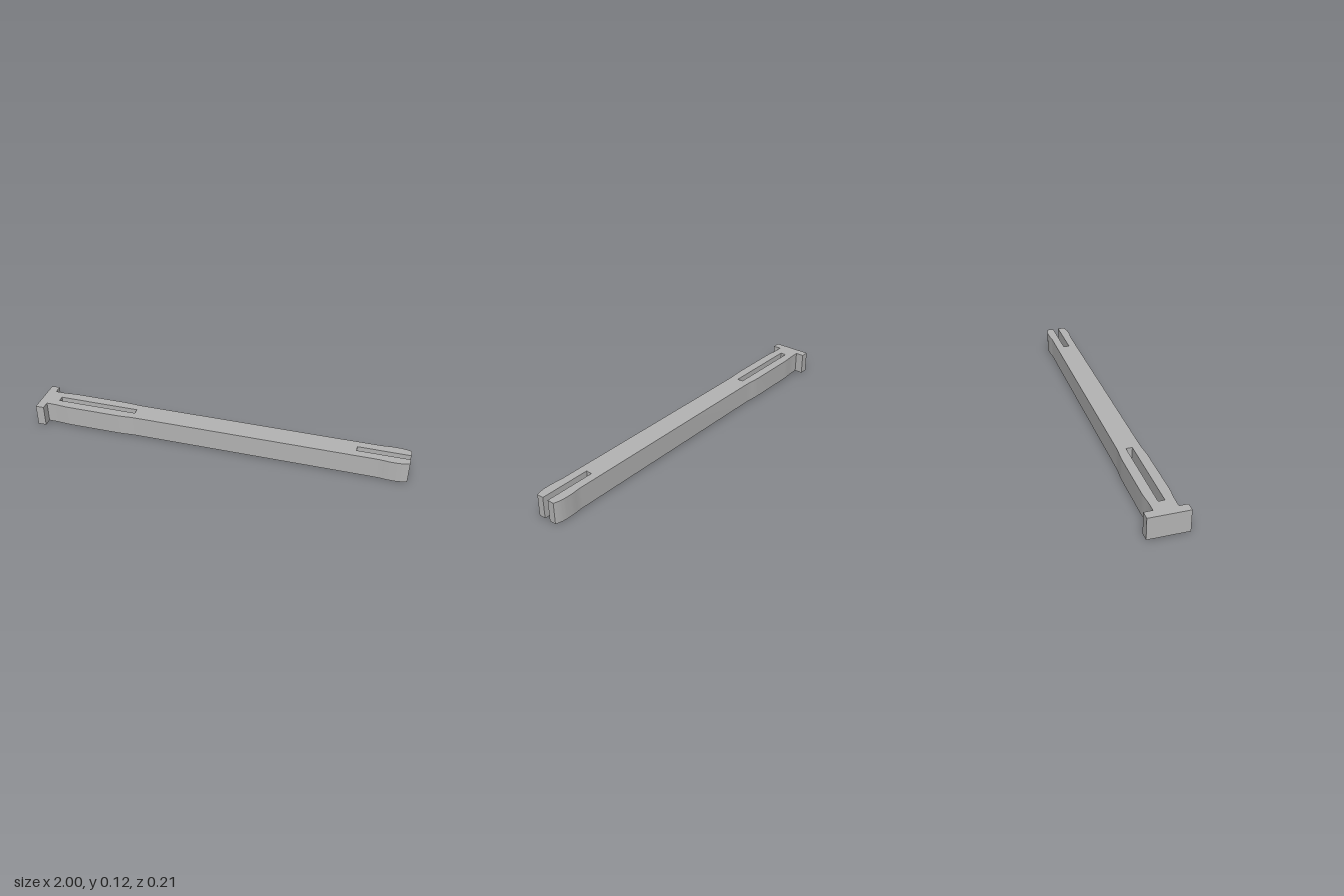
import * as THREE from 'three';
import { toCreasedNormals } from 'three/addons/utils/BufferGeometryUtils.js';

const HEIGHT = 0.115;
const SLOT = 0.016; // half width of both slots

// Upright prism from a plan outline (x, z)
function prism(name, shape, material) {
  const geo = new THREE.ExtrudeGeometry(shape, { depth: HEIGHT, bevelEnabled: false });
  geo.rotateX(-Math.PI / 2);
  const mesh = new THREE.Mesh(toCreasedNormals(geo, 0.4), material);
  mesh.name = name;
  return mesh;
}

// Smooth run between two half widths
function ease(x0, w0, x1, w1, steps = 8) {
  return Array.from({ length: steps + 1 }, (_, i) => {
    const t = i / steps;
    return new THREE.Vector2(x0 + (x1 - x0) * t, w0 + (w1 - w0) * t * t * (3 - 2 * t));
  });
}

export function createModel() {
  const group = new THREE.Group();
  group.name = 'slottedPin';
  const grey = new THREE.MeshStandardMaterial({ color: 0xb4b4b4 });
  grey.name = 'grey';

  // Half outline: swelling beside the closed slot, then the barbed tip
  const side = [
    new THREE.Vector2(-0.955, 0.059),
    ...ease(-0.92, 0.059, -0.82, 0.065),
    ...ease(-0.55, 0.065, -0.44, 0.059),
    ...ease(0.84, 0.059, 0.91, 0.064),
  ];
  // Rounded nose of each prong
  for (let i = 0; i <= 8; i++) {
    const t = i / 8;
    side.push(new THREE.Vector2(0.935 + 0.065 * t, 0.064 - 0.012 * t * t));
  }
  // Open slot splits the tip into two prongs
  const fork = [[1, SLOT], [0.73, SLOT], [0.73, -SLOT], [1, -SLOT]]
    .map(([x, z]) => new THREE.Vector2(x, z));
  const mirrored = side.map(p => new THREE.Vector2(p.x, -p.y)).reverse();
  const shaft = new THREE.Shape([...side, ...fork, ...mirrored]);

  // Closed slot near the head
  shaft.holes.push(new THREE.Path([
    new THREE.Vector2(-0.9, -SLOT), new THREE.Vector2(-0.46, -SLOT),
    new THREE.Vector2(-0.46, SLOT), new THREE.Vector2(-0.9, SLOT),
  ]));
  group.add(prism('shaft', shaft, grey));

  // Cross head
  const head = new THREE.Mesh(new THREE.BoxGeometry(0.045, HEIGHT, 0.206), grey);
  head.position.set(-0.9775, HEIGHT / 2, 0);
  head.name = 'head';
  group.add(head);

  return group;
}
